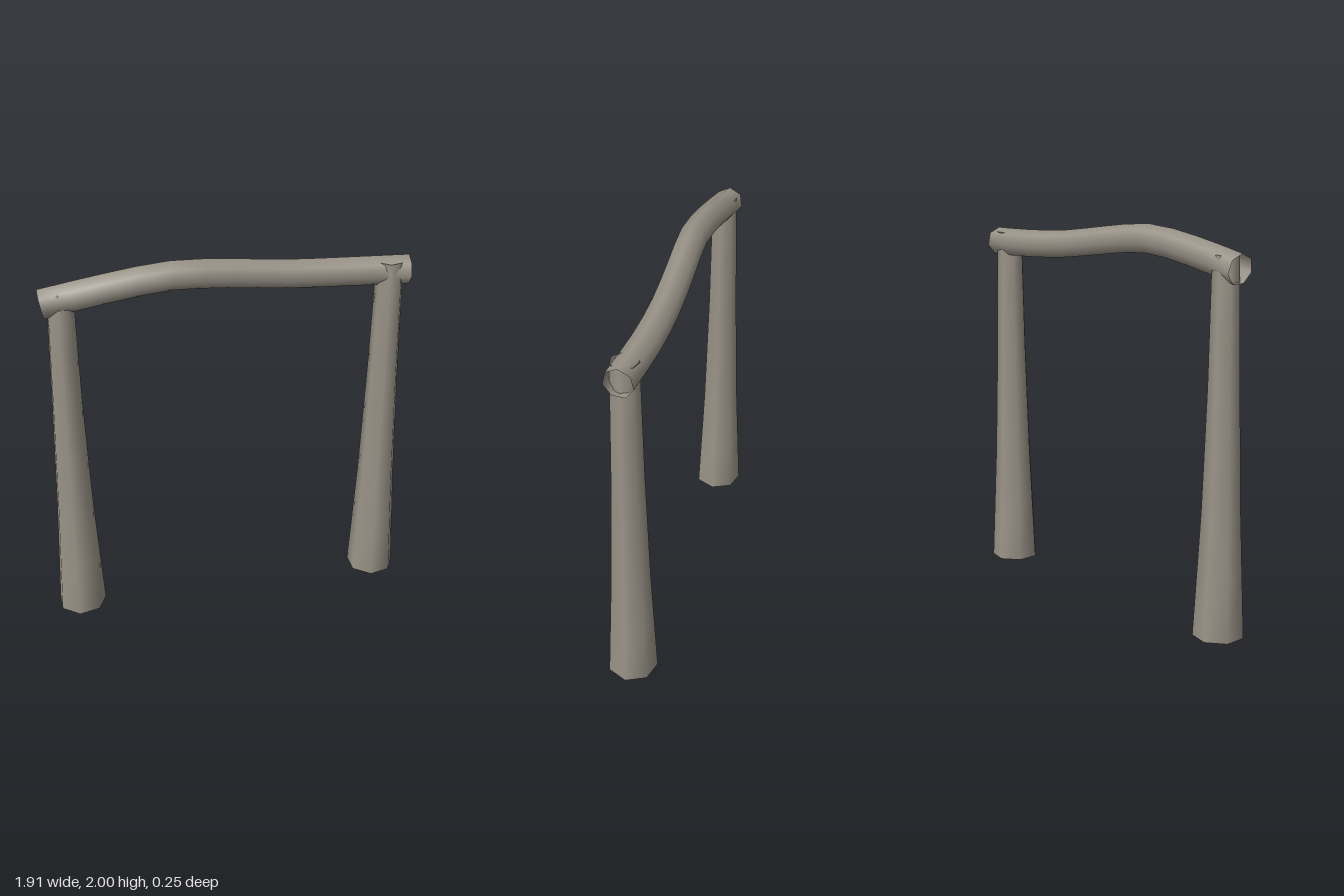
import * as THREE from 'three';

const SIDES = 7;
const material = new THREE.MeshStandardMaterial({ color: 0x9a9388, roughness: 0.9, side: THREE.DoubleSide });

// Open seven-sided log swept along a smooth curve. Each knot is [x, y, z, radius];
// the first corner of every cross-section points towards `corner`.
function log(name, knots, corner, steps) {
  const path = new THREE.CatmullRomCurve3(knots.map(([x, y, z]) => new THREE.Vector3(x, y, z)));
  const positions = [], indices = [];
  for (let i = 0; i <= steps; i++) {
    const t = i / steps;
    const k = Math.min(Math.floor(t * (knots.length - 1)), knots.length - 2);
    const radius = THREE.MathUtils.lerp(knots[k][3], knots[k + 1][3], t * (knots.length - 1) - k);
    const centre = path.getPoint(t);
    const tangent = path.getTangent(t);
    const u = corner.clone().addScaledVector(tangent, -corner.dot(tangent)).normalize();
    const v = new THREE.Vector3().crossVectors(tangent, u);
    for (let s = 0; s < SIDES; s++) {
      const a = (s / SIDES) * Math.PI * 2;
      const p = centre.clone()
        .addScaledVector(u, Math.cos(a) * radius)
        .addScaledVector(v, Math.sin(a) * radius);
      positions.push(p.x, p.y, p.z);
      if (i < steps) {
        const n = (s + 1) % SIDES;
        const a0 = i * SIDES + s, b0 = i * SIDES + n;
        indices.push(a0, b0, b0 + SIDES, a0, b0 + SIDES, a0 + SIDES);
      }
    }
  }
  const geometry = new THREE.BufferGeometry();
  geometry.setAttribute('position', new THREE.Float32BufferAttribute(positions, 3));
  geometry.setIndex(indices);
  geometry.computeVertexNormals();
  const mesh = new THREE.Mesh(geometry, material);
  mesh.name = name;
  return mesh;
}

export function createModel() {
  const group = new THREE.Group();
  group.name = 'timberFrame';

  // Tapered posts, flared at the foot and open inside the beam
  const side = new THREE.Vector3(1, 0, 0);
  group.add(log('rightPost', [
    [-0.84, 0, 0, 0.13], [-0.845, 0.63, 0, 0.099], [-0.847, 1.26, 0, 0.079], [-0.845, 1.89, 0, 0.067],
  ], side, 6));
  group.add(log('leftPost', [
    [0.825, 0, 0, 0.13], [0.826, 0.63, 0, 0.101], [0.827, 1.26, 0, 0.082], [0.828, 1.89, 0, 0.07],
  ], side, 6));

  // Wavy crossbeam resting over both posts
  const up = new THREE.Vector3(0, 1, 0);
  group.add(log('crossbeam', [
    [-0.94, 1.826, -0.003, 0.077],
    [-0.62, 1.886, 0.013, 0.076],
    [-0.3, 1.924, 0.016, 0.075],
    [0.0, 1.896, -0.005, 0.075],
    [0.3, 1.858, -0.021, 0.075],
    [0.6, 1.84, -0.022, 0.076],
    [0.927, 1.832, -0.003, 0.077],
  ], up, 12));

  return group;
}
